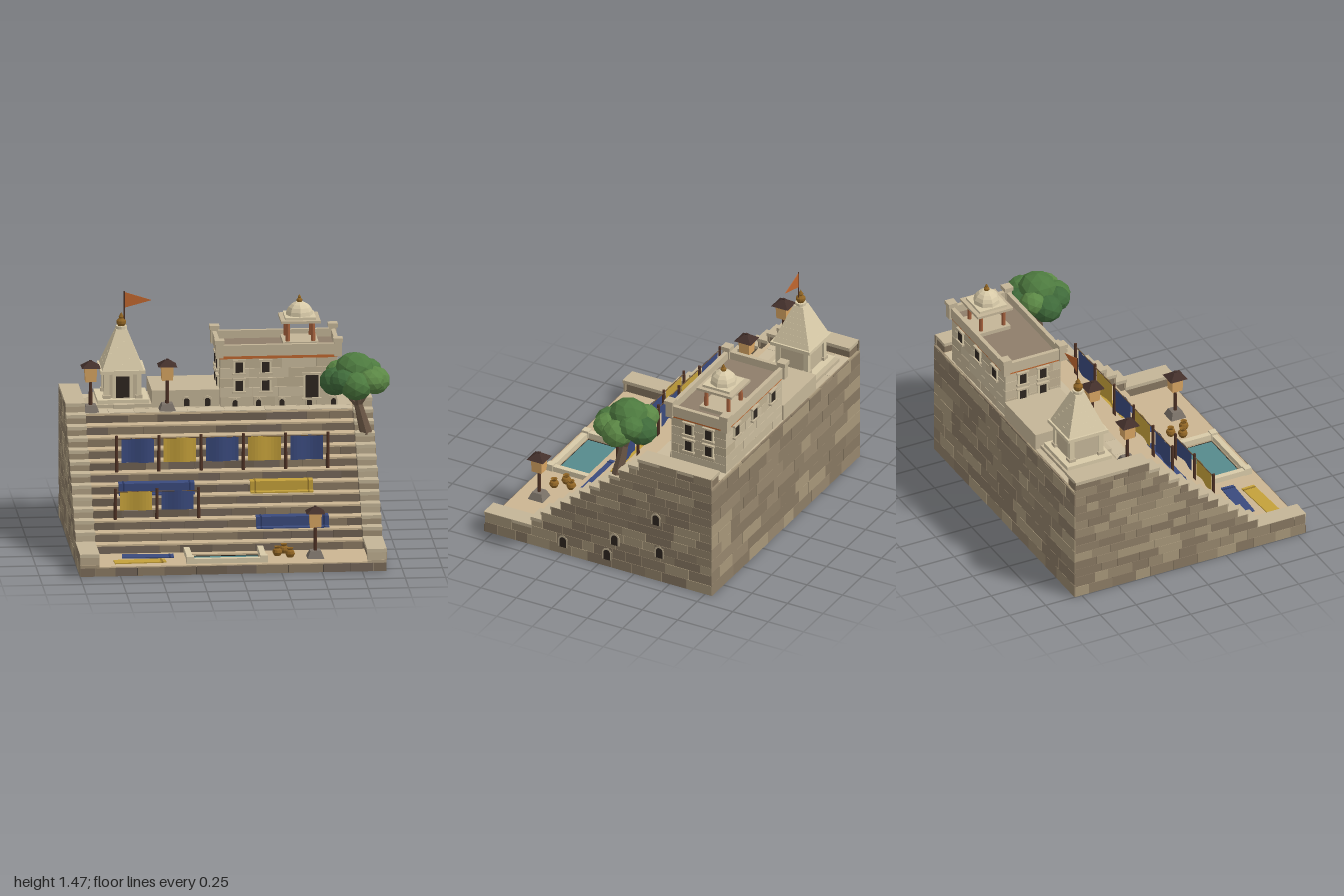
import * as THREE from 'three';
import { mergeGeometries } from 'three/addons/utils/BufferGeometryUtils.js';

const mats = {};
const mat = (c) => (mats[c] ??= new THREE.MeshStandardMaterial({ color: c, flatShading: true, side: THREE.DoubleSide }));
let seed = 7;
const rnd = () => (seed = (seed * 16807) % 2147483647) / 2147483647;

const CREAM = 0xd8caa8, STONE = 0xc4b597, TREAD = 0xcbb591, DARK = 0x2e2620, WOOD = 0x4f3225;
const BLUE = 0x3a4a7d, GOLD = 0xc4a03a, ORANGE = 0xc0662e, BRASS = 0x8f6424;
const WALL = [0x877761, 0x96866d, 0xa69679, 0x8d7d66], RISER = [0x6f6151, 0x7b6c5a, 0x8b7a62, 0x75675a];
const LIGHT = [0xc4b597, 0xbdae90, 0xcabb9d], QUOIN = [0xb3a284, 0xa08f74, 0xbeae90];

function add(parent, name, geo, color, x = 0, y = 0, z = 0) {
  const m = new THREE.Mesh(geo, mat(color));
  m.name = name;
  m.position.set(x, y, z);
  parent.add(m);
  return m;
}
// box resting on y
const box = (p, name, w, h, d, x, y, z, c) => add(p, name, new THREE.BoxGeometry(w, h, d), c, x, y + h / 2, z);
// frustum resting on y
const cyl = (p, name, rt, rb, h, n, x, y, z, c) => add(p, name, new THREE.CylinderGeometry(rt, rb, h, n), c, x, y + h / 2, z);
// square frustum given by half widths
function pyramid(p, name, ht, hb, h, x, y, z, c) {
  const g = new THREE.CylinderGeometry(ht * Math.SQRT2, hb * Math.SQRT2, h, 4).rotateY(Math.PI / 4);
  return add(p, name, g, c, x, y + h / 2, z);
}
function limb(p, name, a, b, ra, rb, c) {
  const A = new THREE.Vector3(...a), B = new THREE.Vector3(...b), d = B.clone().sub(A);
  const m = add(p, name, new THREE.CylinderGeometry(rb, ra, d.length(), 7), c);
  m.position.copy(A).add(B).multiplyScalar(0.5);
  m.quaternion.setFromUnitVectors(new THREE.Vector3(0, 1, 0), d.normalize());
}
function group(parent, name, x = 0, y = 0, z = 0, ry = 0) {
  const g = new THREE.Group();
  g.name = name;
  g.position.set(x, y, z);
  g.rotation.y = ry;
  parent.add(g);
  return g;
}

// one course of stones of uneven length; axis 'x', 'z' or 'floor'
let stones = {};
function course(axis, a0, a1, b0, b1, at, palette, len = 0.16) {
  for (let a = a0; a < a1 - 0.001;) {
    let e = a + len * (0.6 + 0.8 * rnd());
    if (a1 - e < len * 0.4) e = a1;
    const w = e - a - 0.002, h = b1 - b0 - 0.002, t = 0.012 + 0.004 * rnd(), m = (a + e) / 2, n = (b0 + b1) / 2;
    const g = axis === 'x' ? new THREE.BoxGeometry(w, h, t).translate(m, n, at)
      : axis === 'z' ? new THREE.BoxGeometry(t, h, w).translate(at, n, m)
        : new THREE.BoxGeometry(w, 0.008, h).translate(m, at, n);
    (stones[palette[Math.floor(rnd() * palette.length)]] ??= []).push(g);
    a = e;
  }
}

function archShape(w, h) {
  const s = new THREE.Shape();
  s.moveTo(-w / 2, 0).lineTo(w / 2, 0).lineTo(w / 2, h - w / 2);
  s.absarc(0, h - w / 2, w / 2, 0, Math.PI);
  return s;
}
function niche(p, x, y, z, ry, w = 0.045, h = 0.07) {
  const g = group(p, 'archedNiche', x, y, z, ry);
  const ext = (a, b, d) => new THREE.ExtrudeGeometry(archShape(a, b), { depth: d, bevelEnabled: false, curveSegments: 6 });
  add(g, 'nicheFrame', ext(w + 0.02, h + 0.012, 0.012), STONE);
  add(g, 'nicheOpening', ext(w, h, 0.014), DARK);
}
function opening(p, x, y, z, ry, w = 0.045, h = 0.065) {
  const g = group(p, 'window', x, y, z, ry);
  box(g, 'frame', w + 0.024, h + 0.02, 0.024, 0, -0.01, 0, CREAM);
  box(g, 'pane', w, h, 0.03, 0, 0, 0, DARK);
  box(g, 'sill', w + 0.04, 0.012, 0.044, 0, -0.016, 0, STONE);
  box(g, 'lintel', w + 0.04, 0.012, 0.04, 0, h + 0.004, 0, STONE);
}
function lamp(p, x, y, z) {
  const g = group(p, 'lampPost', x, y, z);
  pyramid(g, 'lampFoot', 0.033, 0.052, 0.045, 0, 0, 0, 0x7b7268);
  cyl(g, 'lampPole', 0.01, 0.012, 0.17, 8, 0, 0.04, 0, WOOD);
  pyramid(g, 'lantern', 0.038, 0.034, 0.09, 0, 0.195, 0, 0xdba764);
  pyramid(g, 'lampRoof', 0.012, 0.058, 0.035, 0, 0.285, 0, 0x43302b);
  box(g, 'lampCap', 0.015, 0.012, 0.015, 0, 0.315, 0, 0x43302b);
}
// row of posts with cloths hung on a rope between them
function clothesline(p, x0, gap, y, z, h, colors) {
  const g = group(p, 'clothesline', 0, y, z);
  for (let i = 0; i <= colors.length; i++) {
    cyl(g, 'linePost', 0.009, 0.011, h, 8, x0 + i * gap, 0, 0, WOOD);
    if (i === colors.length) continue;
    const cx = x0 + (i + 0.5) * gap;
    limb(g, 'rope', [cx - gap / 2, h - 0.02, 0], [cx + gap / 2, h - 0.02, 0], 0.003, 0.003, 0x6a5138);
    const c = new THREE.PlaneGeometry(gap - 0.06, h - 0.075, 10, 2), a = c.attributes.position;
    for (let k = 0; k < a.count; k++) a.setZ(k, 0.007 * Math.sin(a.getX(k) * 32 + i));
    add(g, 'hangingCloth', c, colors[i], cx, h - 0.018 - (h - 0.075) / 2, 0);
  }
}

export function createModel() {
  const root = new THREE.Group();
  root.name = 'steppedRiverbank';
  stones = {};
  seed = 7;
  const N = 12, RUN = 0.0685, RISE = 0.0588, G = 0.06, TOP = G + N * RISE, Z0 = 0.47, BACK = -0.79;
  const stepZ = (k) => Z0 - RUN * k, wallY = (k) => 0.14 + 0.058 * k;

  // ground slab with a pool opening
  const slab = (h, y, c, name) => {
    const s = new THREE.Shape().moveTo(-0.995, -0.8).lineTo(0.895, -0.8).lineTo(0.895, 0.79).lineTo(-0.995, 0.79);
    s.holes.push(new THREE.Path().moveTo(-0.295, -0.73).lineTo(-0.295, -0.52).lineTo(0.125, -0.52).lineTo(0.125, -0.73));
    add(root, name, new THREE.ExtrudeGeometry(s, { depth: h, bevelEnabled: false }).rotateX(-Math.PI / 2), c, 0, y, 0);
  };
  slab(0.05, 0, 0x2a2420, 'underside');
  slab(0.012, 0.048, TREAD, 'ground');
  course('x', -1, 0.9, 0, G - 0.006, 0.802, RISER);
  box(root, 'water', 0.42, 0.01, 0.21, -0.085, 0.035, 0.625, 0x568a8c);
  for (const x of [-0.313, 0.143]) {
    box(root, 'poolRim', 0.036, 0.035, 0.27, x, G, 0.605, CREAM);
    box(root, 'poolCorner', 0.046, 0.045, 0.046, x, G, 0.75, CREAM);
  }
  box(root, 'poolRim', 0.44, 0.03, 0.034, -0.085, G, 0.75, CREAM);

  // broad steps
  for (let k = 0; k < N; k++) {
    const z = stepZ(k), y = G + k * RISE, d = z - BACK;
    box(root, 'stepCore', 1.68, RISE - 0.01, d - 0.01, -0.05, y, BACK + d / 2, 0x6b5d4d);
    box(root, 'stepTread', 1.68, 0.012, d, -0.05, y + RISE - 0.012, BACK + d / 2, TREAD);
    course('x', -0.88, 0.78, y, y + RISE - 0.01, z - 0.007, RISER, 0.2);
  }
  for (let i = 0; i < 5; i++) course('floor', -0.88, 0.78, -0.79 + i * 0.1, -0.69 + i * 0.1, TOP, LIGHT, 0.2);

  // stepped side walls with capstones
  for (const [x, out] of [[-0.94, -0.994], [0.84, 0.894]]) {
    for (let k = 0; k <= N; k++) {
      const front = k ? stepZ(k - 1) : 0.8, y0 = k ? wallY(k - 1) : 0, y1 = wallY(k);
      const next = k < N ? stepZ(k) : BACK, d = front - BACK;
      box(root, 'sideWall', 0.1, y1 - y0, d - 0.012, x, y0, BACK + d / 2, 0x85755f);
      box(root, 'wallCap', 0.122, 0.022, front - next + 0.008, x, y1 - 0.02, (front + next) / 2 + 0.004, STONE);
      const rows = k ? 1 : 2, h = (y1 - y0) / rows;
      for (let r = 0; r < rows; r++) {
        course('z', BACK - 0.005, front, y0 + r * h, y0 + (r + 1) * h, out, WALL, 0.13);
        course('x', x - 0.06, x + 0.06, y0 + r * h, y0 + (r + 1) * h, front - 0.004, QUOIN, 0.2);
      }
    }
  }
  for (let i = 0; i < 10; i++) {
    const top = i === 9 ? TOP : (i + 1) * 0.0835;
    course('x', -1, 0.9, i * 0.0835, top, BACK - 0.003, WALL, 0.19);
  }
  for (const [z, y] of [[0.25, 0.05], [-0.06, 0.05], [-0.115, 0.17], [-0.43, 0.17], [-0.405, 0.4]])
    niche(root, 0.892, y, z, Math.PI / 2);

  // low terrace between shrine and house
  box(root, 'terrace', 0.42, 0.11, 0.38, -0.245, TOP, -0.6, STONE);
  for (const x of [-0.24, -0.11]) niche(root, x, TOP + 0.01, -0.412, 0, 0.035, 0.05);

  // shrine with tiered tower
  const s = group(root, 'shrine', -0.63, TOP, -0.585);
  box(s, 'plinth', 0.37, 0.025, 0.34, 0, 0, 0, STONE);
  box(s, 'plinthStep', 0.32, 0.025, 0.31, 0, 0.025, 0, CREAM);
  box(s, 'shrineBody', 0.21, 0.17, 0.21, 0, 0.05, 0, STONE);
  for (const x of [-0.1, 0.1]) for (const z of [-0.1, 0.1]) {
    box(s, 'pilaster', 0.032, 0.165, 0.032, x, 0.05, z, CREAM);
    box(s, 'pilasterFoot', 0.046, 0.02, 0.046, x, 0.05, z, STONE);
  }
  box(s, 'doorFrame', 0.125, 0.16, 0.03, 0, 0.05, 0.1, CREAM);
  box(s, 'doorway', 0.085, 0.135, 0.034, 0, 0.055, 0.102, DARK);
  box(s, 'doorStep', 0.13, 0.03, 0.06, 0, 0, 0.17, STONE);
  box(s, 'cornice', 0.28, 0.022, 0.28, 0, 0.208, 0, CREAM);
  for (let i = 0; i < 7; i++) {
    const r = 0.128 - i * 0.0135;
    pyramid(s, 'towerTier', r - 0.013, r, 0.034, 0, 0.23 + i * 0.034, 0, CREAM);
  }
  cyl(s, 'towerCollar', 0.035, 0.035, 0.02, 10, 0, 0.466, 0, CREAM);
  const urn = [[0.02, 0], [0.03, 0.018], [0.03, 0.034], [0.014, 0.05], [0.016, 0.06], [0, 0.088]].map((p) => new THREE.Vector2(...p));
  add(s, 'finial', new THREE.LatheGeometry(urn, 10), BRASS, 0, 0.484, 0);
  cyl(s, 'flagPole', 0.004, 0.004, 0.24, 6, 0.018, 0.465, 0.005, WOOD);
  const flag = new THREE.Shape().moveTo(0, 0).lineTo(0.17, 0.045).lineTo(0, 0.1);
  add(s, 'flag', new THREE.ExtrudeGeometry(flag, { depth: 0.004, bevelEnabled: false }), ORANGE, 0.018, 0.6, 0.003);

  // two-storey house
  const X0 = -0.03, X1 = 0.69, ZF = -0.4, ZB = -0.78, CX = 0.33, CZ = -0.59;
  box(root, 'houseBody', 0.71, 0.33, 0.37, CX, TOP, CZ, STONE);
  for (let i = 0; i < 5; i++) {
    const y = TOP + i * 0.061;
    for (const z of [ZF - 0.005, ZB + 0.005]) course('x', X0, X1, y, y + 0.061, z, LIGHT);
    for (const x of [X0 + 0.005, X1 - 0.005]) course('z', ZB, ZF, y, y + 0.061, x, LIGHT, 0.12);
  }
  for (const y of [0.868, 0.985]) {
    for (const x of [0.085, 0.25]) opening(root, x, y, ZF, 0);
    for (const z of [-0.525, -0.665]) {
      opening(root, X1, y, z, Math.PI / 2);
      opening(root, X0, y, z, -Math.PI / 2);
    }
  }
  for (const x of [0.1, 0.33, 0.56]) opening(root, x, 0.985, ZB, Math.PI);
  opening(root, 0.535, 0.82, ZF, 0, 0.08, 0.14);
  for (const x of [0.07, 0.215, 0.36, 0.53, 0.68]) niche(root, x - 0.01, TOP, ZF - 0.002, 0, 0.03, 0.045);
  box(root, 'paintedBand', 0.73, 0.02, 0.39, CX, 1.07, CZ, ORANGE);
  box(root, 'roofFloor', 0.74, 0.02, 0.4, CX, 1.09, CZ, 0x8e7d6a);
  for (const e of [-1, 1]) {
    box(root, 'parapet', 0.76, 0.07, 0.026, CX, 1.09, CZ + e * 0.193, STONE);
    box(root, 'parapet', 0.026, 0.07, 0.4, CX + e * 0.368, 1.09, CZ, STONE);
    for (const f of [-1, 1]) {
      box(root, 'cornerPost', 0.046, 0.1, 0.046, CX + e * 0.367, 1.08, CZ + f * 0.195, STONE);
      box(root, 'cornerCap', 0.06, 0.025, 0.06, CX + e * 0.367, 1.17, CZ + f * 0.195, STONE);
    }
  }

  // domed rooftop pavilion
  const p = group(root, 'roofPavilion', 0.48, 1.11, -0.65);
  box(p, 'pavilionBase', 0.22, 0.025, 0.22, 0, 0, 0, STONE);
  for (const x of [-0.078, 0.078]) for (const z of [-0.078, 0.078])
    cyl(p, 'pavilionColumn', 0.013, 0.014, 0.13, 8, x, 0.02, z, 0xa5603c);
  box(p, 'pavilionEave', 0.245, 0.016, 0.245, 0, 0.143, 0, STONE);
  box(p, 'pavilionSlab', 0.19, 0.016, 0.19, 0, 0.159, 0, CREAM);
  add(p, 'dome', new THREE.SphereGeometry(0.085, 8, 5, 0, Math.PI * 2, 0, Math.PI / 2), CREAM, 0, 0.173, 0);
  add(p, 'domeFinial', new THREE.LatheGeometry(urn, 8), BRASS, 0, 0.25, 0).scale.setScalar(0.6);

  for (const [x, y, z] of [[-0.84, TOP, -0.35], [-0.365, TOP, -0.35], [0.47, G, 0.655]]) lamp(root, x, y, z);

  // hanging cloth, draped cloth and mats
  clothesline(root, -0.71, 0.262, 0.471, 0.03, 0.23, [BLUE, GOLD, BLUE, GOLD, BLUE]);
  clothesline(root, -0.74, 0.258, 0.236, 0.3, 0.195, [GOLD, BLUE]);
  const drape = (x0, x1, k, c, trim) => {
    const y = G + k * RISE, z = stepZ(k - 1), t = 0.008;
    const prof = new THREE.Shape().moveTo(-z + 0.06, y).lineTo(-z + 0.06, y + t).lineTo(-z - t, y + t).lineTo(-z - t, y - RISE + t)
      .lineTo(-z - 0.048, y - RISE + t).lineTo(-z - 0.048, y - RISE).lineTo(-z, y - RISE).lineTo(-z, y);
    const strip = (name, a, b, col, lift) => add(root, name, new THREE.ExtrudeGeometry(prof, { depth: b - a, bevelEnabled: false })
      .rotateY(Math.PI / 2), col, a, lift, lift);
    strip('drapedCloth', x0, x1, c, 0);
    strip('clothTrim', x0 + 0.025, x0 + 0.035, trim, 0.002);
    strip('clothTrim', x1 - 0.035, x1 - 0.025, trim, 0.002);
  };
  drape(-0.705, -0.235, 6, BLUE, 0x2c3964);
  drape(0.11, 0.5, 6, GOLD, 0x97782a);
  drape(0.13, 0.58, 3, BLUE, 0x2c3964);
  for (const [x, z, r, c, t] of [[-0.56, 0.56, -0.05, BLUE, 0x2c3964], [-0.62, 0.688, 0.05, GOLD, 0x97782a]]) {
    const m = group(root, 'groundCloth', x, G, z, r);
    box(m, 'cloth', 0.32, 0.007, 0.085, 0, 0, 0, c);
    box(m, 'clothTrim', 0.012, 0.009, 0.086, 0.135, 0, 0, t);
  }

  // brass water pots
  const pot = [[0, 0], [0.02, 0], [0.031, 0.022], [0.026, 0.038], [0.014, 0.045], [0.021, 0.058], [0.012, 0.056]].map((q) => new THREE.Vector2(...q));
  for (const [x, z] of [[0.24, 0.59], [0.285, 0.53], [0.315, 0.635]]) add(root, 'waterPot', new THREE.LatheGeometry(pot, 10), BRASS, x, G, z);

  // leaning tree
  const t = group(root, 'tree');
  limb(t, 'trunk', [0.85, 0.65, -0.105], [0.8, 0.84, -0.125], 0.04, 0.026, 0x6a5645);
  for (const b of [[0.68, 0.96, -0.13], [0.8, 1.0, -0.2], [0.88, 0.96, -0.08], [0.78, 0.98, -0.03]])
    limb(t, 'branch', [0.8, 0.83, -0.125], b, 0.022, 0.012, 0x6a5645);
  [[0.78, 1.05, -0.145, 0.125], [0.66, 0.98, -0.14, 0.1], [0.9, 0.985, -0.13, 0.1], [0.78, 0.975, -0.02, 0.1], [0.8, 0.985, -0.25, 0.1],
    [0.69, 1.02, -0.22, 0.085], [0.87, 1.03, -0.21, 0.085], [0.7, 1.0, -0.05, 0.085], [0.87, 1.0, -0.04, 0.085]].forEach(([x, y, z, r], i) => {
    const m = add(t, 'foliage', new THREE.IcosahedronGeometry(r, 1), [0x4d7a3f, 0x3f6a3a, 0x5b8745][i % 3], x, y, z);
    m.scale.y = 0.9;
    m.rotation.y = i;
  });

  for (const c in stones) add(root, 'masonry', mergeGeometries(stones[c]), +c);
  return root;
}
